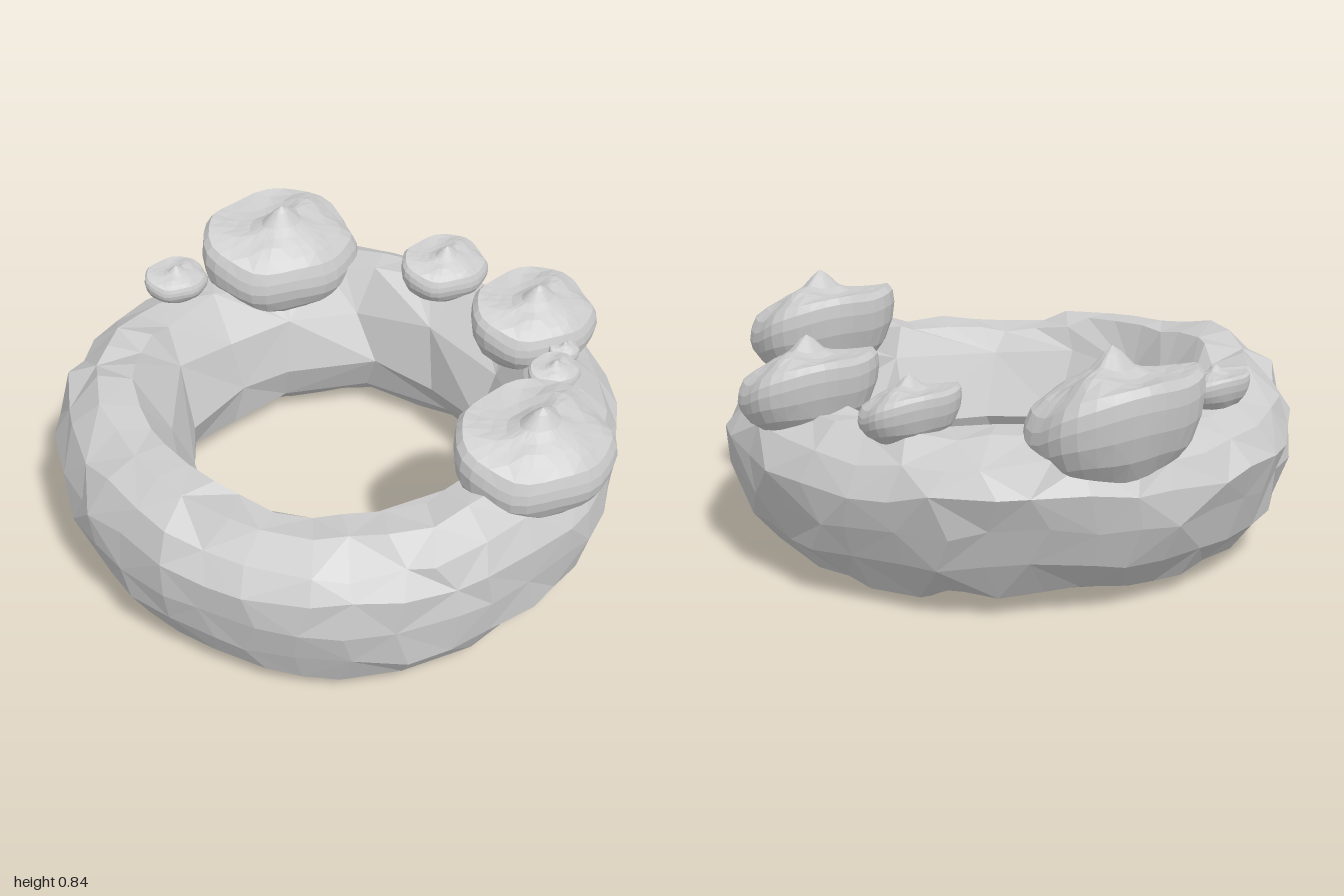
import * as THREE from 'three';

const material = new THREE.MeshStandardMaterial({
  color: 0xcccccc, flatShading: true, side: THREE.DoubleSide,
});

// Small seeded generator, returns -1..1
function seeded(seed) {
  let s = seed;
  return () => {
    s = (s * 16807) % 2147483647;
    return (s / 2147483647) * 2 - 1;
  };
}

// Surface from rows of points; the columns always close, the rows optionally
function loft(rows, closeRows) {
  const cols = rows[0].length;
  const index = [];
  const last = closeRows ? rows.length : rows.length - 1;
  for (let i = 0; i < last; i++) {
    const k = (i + 1) % rows.length;
    for (let j = 0; j < cols; j++) {
      const n = (j + 1) % cols;
      const a = i * cols + j, b = i * cols + n, c = k * cols + n, d = k * cols + j;
      if ((i + j) % 2) index.push(a, b, c, a, c, d);
      else index.push(a, b, d, b, c, d);
    }
  }
  const geometry = new THREE.BufferGeometry();
  geometry.setAttribute('position', new THREE.Float32BufferAttribute(rows.flat(2), 3));
  geometry.setIndex(index);
  geometry.computeVertexNormals();
  return geometry;
}

// Lumpy ring: fine facets outside, broad uneven facets round the hole
function ringGeometry() {
  const section = [
    [0.72, 0.035], [0.82, 0.04], [0.91, 0.08], [0.965, 0.19], [0.98, 0.32], [0.975, 0.44],
    [0.925, 0.53], [0.82, 0.6], [0.7, 0.59], [0.62, 0.46], [0.55, 0.27], [0.62, 0.11],
  ];
  const firstInner = 9;
  const rand = seeded(4127);
  const rows = [];
  const count = 39;
  for (let i = 0; i < count; i++) {
    const base = (i / count) * Math.PI * 2;
    const wave = 0.01 * Math.sin(base * 5 + 1) + 0.01 * Math.sin(base * 3);
    rows.push(section.map(([r, y], j) => {
      const inner = j >= firstInner;
      // Three neighbouring columns share each inner corner
      if (inner && i % 3) return rows[i - 1][j];
      const a = base + rand() * (inner ? 0.1 : 0.04);
      const dx = Math.sin(a), dz = Math.cos(a);
      let radius = r + rand() * (inner ? 0.03 : 0.014);
      // Outer wall leans in towards the bottom, least at the front
      if (j < 5) radius -= (0.06 - 0.05 * dz + 0.03 * dx) * (1 - y / 0.42) * (j ? 1 : 0.4);
      // Hole reaches a little further to the front
      if (inner) radius += 0.025 * dz;
      let height = y + rand() * (inner ? 0.035 : 0.018) + wave;
      // Raised stretch on the right-hand rim, then a dip
      if (j >= 6 && j <= 8) {
        height += 0.06 * Math.exp(-(((a - 4.4) / 0.4) ** 2)) - 0.03 * Math.exp(-(((a - 5.6) / 0.25) ** 2));
      }
      return [dx * Math.min(radius, 0.995), Math.max(0.01, height), dz * Math.min(radius, 0.995)];
    }));
  }
  return loft(rows, true);
}

// Unit dollop: full mound with a pointed tip and a high lip behind
function dollopGeometry() {
  // radius, height in front, height behind
  const profile = [
    [0, 0, 0], [0.4, 0.01, 0.03], [0.68, 0.07, 0.12], [0.87, 0.18, 0.3], [0.97, 0.29, 0.49],
    [1, 0.39, 0.66], [0.98, 0.48, 0.78], [0.91, 0.58, 0.84], [0.76, 0.66, 0.82], [0.57, 0.73, 0.8],
    [0.4, 0.78, 0.8], [0.25, 0.84, 0.84], [0.1, 0.95, 0.95], [0, 1, 1],
  ];
  const count = 32;
  const rows = profile.map(([r, front, behind], k) => {
    const row = [];
    // The tip sits a little forward of the middle
    const t = k > 6 ? 1 - r : 0;
    for (let i = 0; i < count; i++) {
      const a = (i / count) * Math.PI * 2;
      const back = THREE.MathUtils.smoothstep(-Math.cos(a) - 0.35 * Math.sin(a), -0.6, 0.9);
      const lump = 1 + 0.02 * Math.sin(a * 3 + 0.6) + 0.015 * Math.sin(a * 7);
      // Low ridge from the tip to the back left
      const ridge = k > 6 ? 0.1 * Math.exp(-(((a - 2.1) / 0.5) ** 2) - (((r - 0.5) / 0.25) ** 2)) : 0;
      row.push([
        Math.sin(a) * r * lump - 0.05 * t,
        THREE.MathUtils.lerp(front, behind, back) + ridge + 0.012 * r * Math.sin(a * 6 + r * 9),
        Math.cos(a) * r * lump + 0.15 * t,
      ]);
    }
    return row;
  });
  return loft(rows, false);
}

export function createModel() {
  const group = new THREE.Group();

  const ring = new THREE.Mesh(ringGeometry(), material);
  ring.name = 'ring';
  group.add(ring);

  // name, x, z, half width, half depth, bottom, top
  const dollops = [
    ['backDollop', 0.19, -0.765, 0.31, 0.23, 0.43, 0.85],
    ['frontDollop', 0.305, 0.735, 0.285, 0.215, 0.47, 0.85],
    ['sideDollop', 0.75, 0.1, 0.245, 0.185, 0.485, 0.8],
    ['rearSideDollop', 0.655, -0.34, 0.175, 0.13, 0.54, 0.75],
    ['smallBackDollop', -0.255, -0.755, 0.12, 0.092, 0.58, 0.72],
    ['smallSideDollop', 0.63, 0.39, 0.1, 0.072, 0.565, 0.685],
    ['tinySideDollop', 0.745, 0.29, 0.06, 0.045, 0.57, 0.66],
  ];
  const shape = dollopGeometry();
  dollops.forEach(([name, x, z, w, d, bottom, top]) => {
    const dollop = new THREE.Mesh(shape, material);
    dollop.name = name;
    dollop.position.set(x, bottom, z);
    dollop.scale.set(w, top - bottom, d);
    group.add(dollop);
  });

  return group;
}
